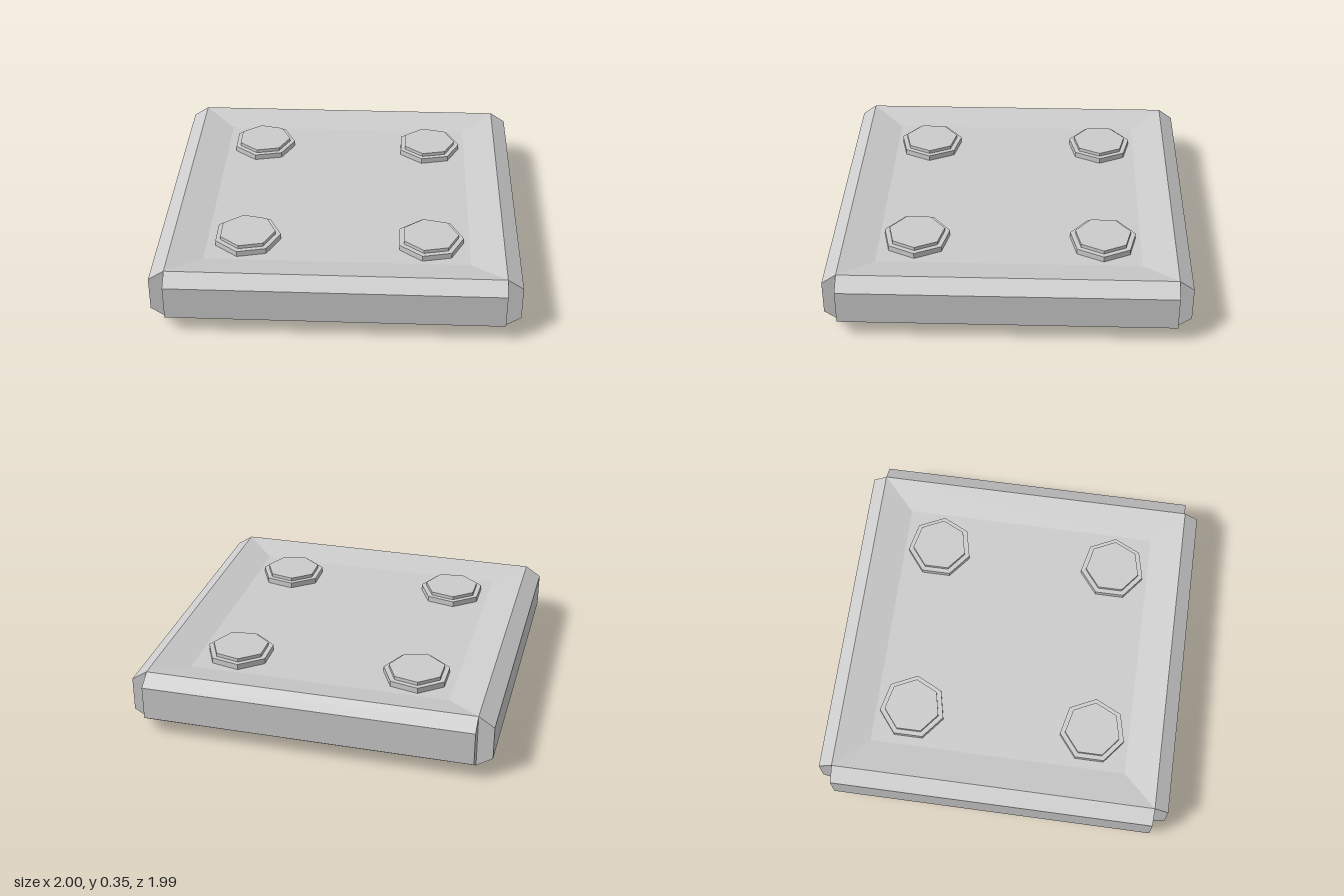
import * as THREE from 'three';

const RIM = 0.913;    // half width of the slab at its rim
const FLOOR = 0.727;  // half width of the recessed floor and the flat underside
const FLOOR_Y = 0.303;

const material = new THREE.MeshStandardMaterial({ color: 0xcccccc, flatShading: true });

function addMesh(parent, name, geometry) {
  const mesh = new THREE.Mesh(geometry, material);
  mesh.name = name;
  parent.add(mesh);
  return mesh;
}

// Square slab: tapered underside, straight walls, dished top
function slabGeometry() {
  const profile = [[0, 0], [FLOOR, 0], [RIM, 0.042], [RIM, 0.345], [FLOOR, FLOOR_Y], [0, FLOOR_Y]];
  const points = profile.map(([half, y]) => new THREE.Vector2(half * Math.SQRT2, y));
  return new THREE.LatheGeometry(points, 4, Math.PI / 4);
}

// Chamfered edge panel reaching out along +x
function panelGeometry(reach) {
  const shape = new THREE.Shape([
    new THREE.Vector2(RIM, 0.042),
    new THREE.Vector2(reach, 0.098),
    new THREE.Vector2(reach, 0.288),
    new THREE.Vector2(RIM, 0.345),
  ]);
  return new THREE.ExtrudeGeometry(shape, { depth: 2 * RIM, bevelEnabled: false })
    .translate(0, 0, -RIM);
}

// Seven-sided disc with a corner pointing to +x
function discGeometry(radius, bottom, top) {
  return new THREE.CylinderGeometry(radius, radius, top - bottom, 7, 1, false, Math.PI / 2)
    .translate(0, (bottom + top) / 2, 0);
}

export function createModel() {
  const model = new THREE.Group();
  model.name = 'floorPlate';

  addMesh(model, 'slab', slabGeometry());

  // One panel on each side, leaving notched corners
  ['leftPanel', 'backPanel', 'rightPanel', 'frontPanel'].forEach((name, i) => {
    addMesh(model, name, panelGeometry(i % 2 ? 0.993 : 1)).rotation.y = i * Math.PI / 2;
  });

  // Four stepped bolts on the floor
  for (const x of [-0.507, 0.507]) {
    for (const z of [-0.518, 0.518]) {
      const bolt = new THREE.Group();
      bolt.name = (z > 0 ? 'front' : 'back') + (x > 0 ? 'Left' : 'Right') + 'Bolt';
      bolt.position.set(x, 0, z);
      addMesh(bolt, 'boltBase', discGeometry(0.187, FLOOR_Y - 0.01, 0.335));
      addMesh(bolt, 'boltCap', discGeometry(0.158, 0.325, 0.355));
      model.add(bolt);
    }
  }
  return model;
}
